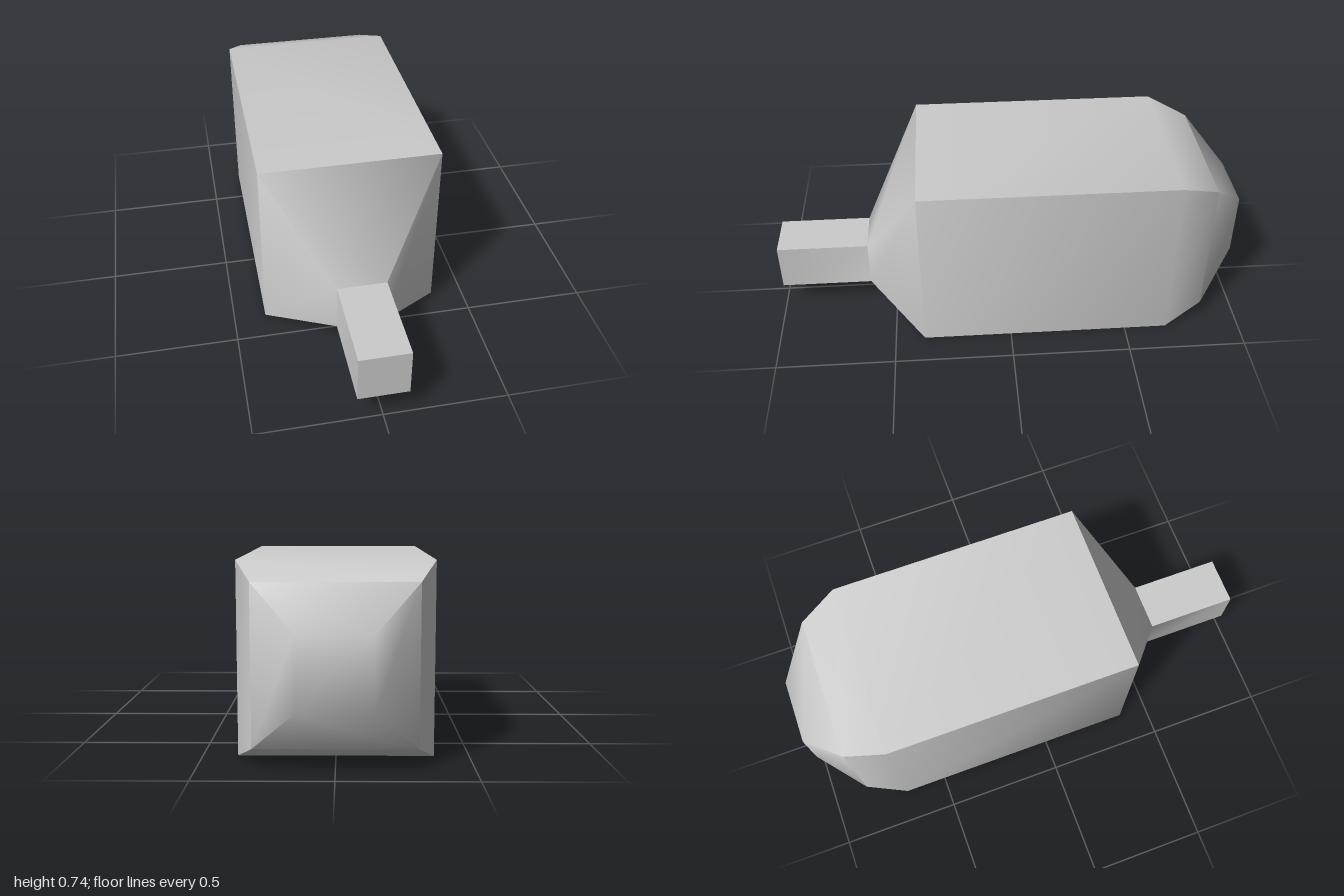
import * as THREE from 'three';
import { toCreasedNormals } from 'three/addons/utils/BufferGeometryUtils.js';

// Rectangular cross-sections from front to back: z, half width, bottom, top
const SECTIONS = [
  [1.0, 0.102, 0.108, 0.311],
  [0.61, 0.102, 0.108, 0.311],
  [0.375, 0.368, 0, 0.736],
  [-0.68, 0.368, 0, 0.736],
  [-0.845, 0.301, 0.07, 0.669],
  [-1.0, 0.136, 0.235, 0.505],
];

// Corners run counter-clockwise seen from the front
const ring = ([z, w, bottom, top]) => [
  [-w, bottom, z], [w, bottom, z], [w, top, z], [-w, top, z],
];

function loftGeometry(sections) {
  const rings = sections.map(ring);
  const positions = [];
  const quad = (a, b, c, d) => positions.push(...a, ...b, ...c, ...a, ...c, ...d);

  // Walls between neighbouring sections
  for (let s = 0; s < rings.length - 1; s++) {
    const front = rings[s], back = rings[s + 1];
    for (let i = 0; i < 4; i++) {
      const j = (i + 1) % 4;
      quad(front[i], back[i], back[j], front[j]);
    }
  }
  // End caps
  quad(...rings[0]);
  quad(...rings[rings.length - 1].slice().reverse());

  const geometry = new THREE.BufferGeometry();
  geometry.setAttribute('position', new THREE.Float32BufferAttribute(positions, 3));
  // Shallow bends are smooth, steep edges stay sharp
  return toCreasedNormals(geometry, THREE.MathUtils.degToRad(60));
}

export function createModel() {
  const group = new THREE.Group();
  group.name = 'taperedBlock';

  // One continuous body: square stem, flared shoulder, long block, rounded tail
  const body = new THREE.Mesh(
    loftGeometry(SECTIONS),
    new THREE.MeshStandardMaterial({ color: 0xcccccc }),
  );
  body.name = 'bodyWithStem';
  group.add(body);

  return group;
}
